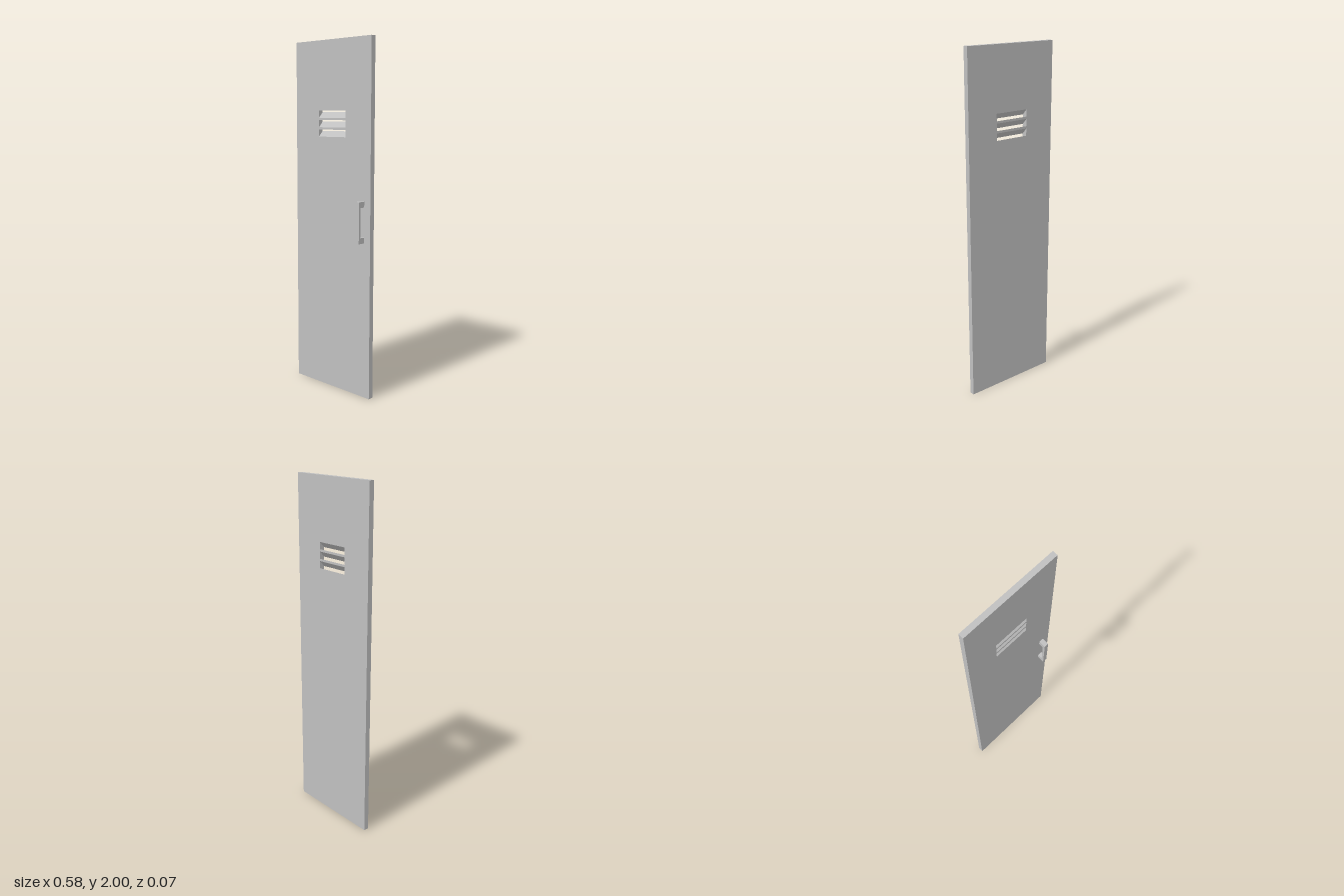
import * as THREE from 'three';

const grey = new THREE.MeshStandardMaterial({ color: 0xc0c0c0 });
grey.name = 'grey metal';

// closed shape or hole from a few corner points
const points = (list) => list.map(([x, y]) => new THREE.Vector2(x, y));
const rectangle = (x0, y0, x1, y1) => points([[x0, y0], [x1, y0], [x1, y1], [x0, y1]]);

// Door panel with three vent slots that climb towards the back
function createPanel() {
  const thickness = 0.03, rise = 0.032;
  const slotHeight = 0.04, pitch = 0.053, slotBottom = 1.464;
  const shape = new THREE.Shape(rectangle(-0.289, 0, 0.289, 2));
  for (let i = 0; i < 3; i++) {
    const y = slotBottom + i * pitch;
    shape.holes.push(new THREE.Path(rectangle(-0.105, y, 0.103, y + slotHeight)));
  }
  const geometry = new THREE.ExtrudeGeometry(shape, { depth: thickness, bevelEnabled: false });

  // lift the back end of every slot so its floor slopes down to the front
  const pos = geometry.attributes.position;
  for (let i = 0; i < pos.count; i++) {
    const inSlot = Math.abs(pos.getX(i)) < 0.2;
    if (inSlot && pos.getZ(i) < thickness / 2) pos.setY(i, pos.getY(i) + rise);
  }
  geometry.computeVertexNormals();
  geometry.translate(0, 0, -0.037);
  const panel = new THREE.Mesh(geometry, grey);
  panel.name = 'doorPanel';
  return panel;
}

// Square bracket handle, drawn from the side and extruded across its width
function createHandle() {
  const back = -0.007, inner = 0.022, front = 0.036;
  const shape = new THREE.Shape(points([
    [back, 0.887], [front, 0.887], [front, 1.118], [back, 1.118],
    [back, 1.086], [inner, 1.086], [inner, 0.919], [back, 0.919],
  ]));
  const geometry = new THREE.ExtrudeGeometry(shape, { depth: 0.027, bevelEnabled: false });
  geometry.rotateY(-Math.PI / 2);
  geometry.translate(0.245, 0, 0);
  const handle = new THREE.Mesh(geometry, grey);
  handle.name = 'handle';
  return handle;
}

export function createModel() {
  const door = new THREE.Group();
  door.name = 'lockerDoor';
  door.add(createPanel(), createHandle());
  return door;
}
